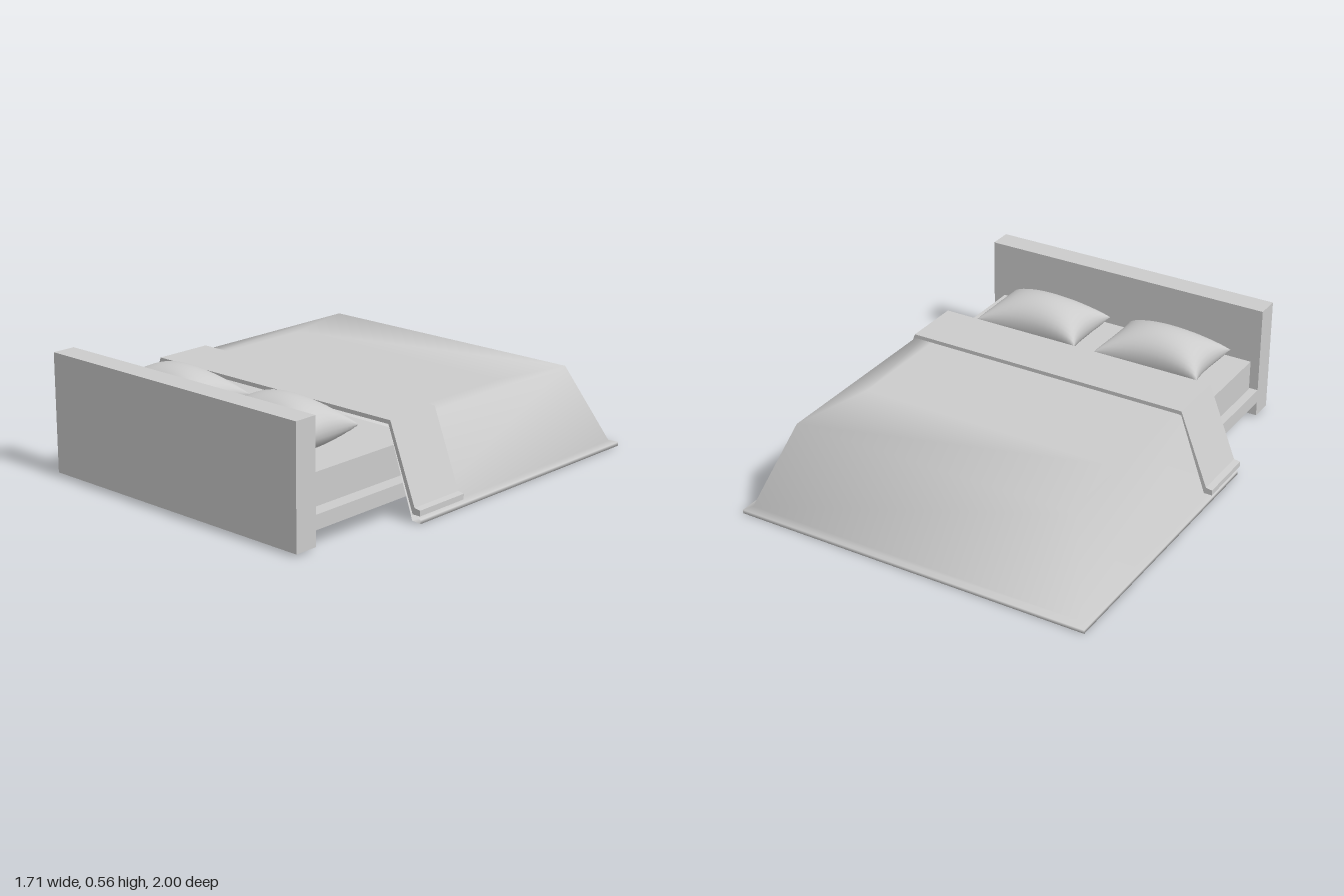
import * as THREE from 'three';
import { mergeGeometries, mergeVertices } from 'three/addons/utils/BufferGeometryUtils.js';

const grey = new THREE.MeshStandardMaterial({ color: 0xcccccc });
const cloth = new THREE.MeshStandardMaterial({ color: 0xcccccc, side: THREE.DoubleSide });

function add(parent, name, geometry, material = grey) {
  const mesh = new THREE.Mesh(geometry, material);
  mesh.name = name;
  parent.add(mesh);
  return mesh;
}

// Box given by its limits on each axis
function box(parent, name, [x0, x1], [y0, y1], [z0, z1]) {
  const mesh = add(parent, name, new THREE.BoxGeometry(x1 - x0, y1 - y0, z1 - z0));
  mesh.position.set((x0 + x1) / 2, (y0 + y1) / 2, (z0 + z1) / 2);
}

// Blanket: U-shaped loops (side, foot, side) lofted from the lining, round the hem, to the top
function blanketGeometry() {
  const front = 0.39;
  const levels = [ // half width, foot z, height
    [0.675, -0.77, 0.385], [0.805, -0.95, 0.012],
    [0.85, -1, 0.008], [0.85, -1, 0.025], [0.82, -0.965, 0.035],
    [0.69, -0.79, 0.4], [0.6, -0.4, 0.4],
  ];
  const positions = [];
  const index = [];
  for (const [w, foot, y] of levels) {
    for (const [side, z] of [[1, front], [1, foot], [-1, foot], [-1, front]]) {
      positions.push(side * w - 0.005, y, z);
    }
  }
  const quad = (a, b, c, d) => index.push(a, b, c, a, c, d);
  for (let i = 0; i < levels.length - 1; i++) {
    for (let j = 0; j < 3; j++) {
      const a = i * 4 + j;
      quad(a, a + 1, a + 5, a + 4);
    }
  }
  const last = (levels.length - 1) * 4;
  quad(last, last + 1, last + 2, last + 3);
  quad(3, 2, 1, 0);
  const geometry = new THREE.BufferGeometry();
  geometry.setAttribute('position', new THREE.Float32BufferAttribute(positions, 3));
  geometry.setIndex(index);
  geometry.computeVertexNormals();
  return geometry;
}

// Turned-back band: a draped strip with a small hem on each side
function foldGeometry() {
  const half = [
    [0.69, 0.42], [0.825, 0.075], [0.855, 0.07], [0.855, 0.045], [0.815, 0.045], [0.68, 0.402],
  ];
  const outline = [...half, ...half.map(([x, y]) => [-x, y]).reverse()];
  const shape = new THREE.Shape(outline.map(([x, y]) => new THREE.Vector2(x - 0.005, y)));
  return new THREE.ExtrudeGeometry(shape, { depth: 0.28, bevelEnabled: false }).translate(0, 0, 0.12);
}

// Pillow: two domed sheets with pinched edges and pointed corners
function pillowGeometry() {
  const halves = [1, -1].map((side) => {
    const sheet = new THREE.PlaneGeometry(2, 2, 20, 16).rotateX(-side * Math.PI / 2);
    const p = sheet.attributes.position;
    for (let i = 0; i < p.count; i++) {
      const u = Math.sin(p.getX(i) * Math.PI / 2);
      const v = Math.sin(p.getZ(i) * Math.PI / 2);
      const dome = Math.max(0, (1 - u * u) * (1 - v * v)) ** 0.45;
      p.setXYZ(i,
        u * 0.265 * (1 - 0.12 * (1 - v * v)),
        side * 0.12 * dome,
        v * 0.172 * (1 - 0.2 * (1 - u * u)));
    }
    sheet.deleteAttribute('normal');
    sheet.deleteAttribute('uv');
    return sheet;
  });
  const geometry = mergeVertices(mergeGeometries(halves), 1e-4);
  geometry.computeVertexNormals();
  return geometry;
}

export function createModel() {
  const bed = new THREE.Group();
  bed.name = 'bed';

  box(bed, 'headboard', [-0.71, 0.73], [0.02, 0.565], [0.89, 1]);
  box(bed, 'mattress', [-0.67, 0.665], [0.152, 0.3], [-0.75, 0.88]);

  // Frame: side rails, foot rail, centre beam and cross beam
  const frame = new THREE.Group();
  frame.name = 'frame';
  bed.add(frame);
  const railY = [0.09, 0.155];
  const sides = [[-0.71, -0.62], [0.645, 0.73]];
  for (const x of sides) {
    box(frame, 'sideRail', x, railY, [-0.78, 0.89]);
    for (const z of [[-0.78, -0.69], [-0.02, 0.07]]) box(frame, 'leg', x, [0.02, 0.09], z);
  }
  box(frame, 'footRail', [-0.62, 0.645], railY, [-0.78, -0.69]);
  box(frame, 'centreBeam', [-0.08, 0.1], railY, [-0.69, 0.89]);
  box(frame, 'crossBeam', [-0.62, -0.08], railY, [-0.02, 0.07]);
  box(frame, 'crossBeam', [0.1, 0.645], railY, [-0.02, 0.07]);

  add(bed, 'blanket', blanketGeometry(), cloth);
  add(bed, 'blanketFold', foldGeometry());

  const pillow = pillowGeometry();
  for (const x of [-0.34, 0.29]) add(bed, 'pillow', pillow).position.set(x, 0.385, 0.62);

  return bed;
}
